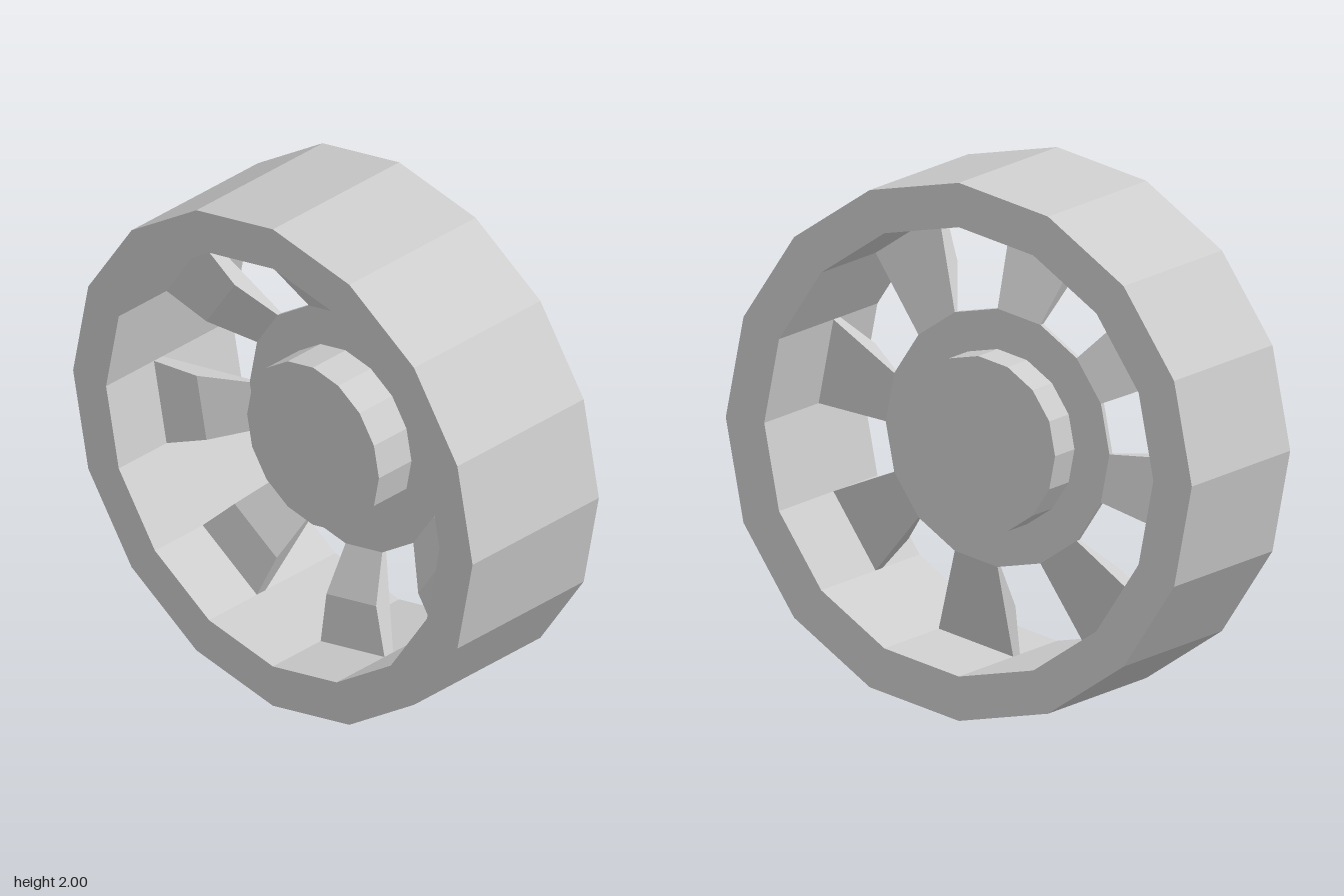
import * as THREE from 'three';

const SIDES = 16;
const STEP = (Math.PI * 2) / SIDES;
const material = new THREE.MeshStandardMaterial({ color: 0xcccccc, flatShading: true });

// Turned part around the x axis; profile points are [radius, x]
function turned(name, profile) {
  const points = profile.map(([r, x]) => new THREE.Vector2(r, x));
  const geometry = new THREE.LatheGeometry(points, SIDES).rotateZ(-Math.PI / 2);
  const mesh = new THREE.Mesh(geometry, material);
  mesh.name = name;
  return mesh;
}

// Wedge one wheel side wide: a [radius, x] section swept between two angles
function wedge(name, section, startAngle) {
  const shape = new THREE.Shape(section.map(([r, x]) => new THREE.Vector2(r, x)));
  const geometry = new THREE.ExtrudeGeometry(shape, { depth: 1, bevelEnabled: false });
  const p = geometry.attributes.position;
  for (let i = 0; i < p.count; i++) {
    const r = p.getX(i), x = p.getY(i), a = startAngle + p.getZ(i) * STEP;
    p.setXYZ(i, x, r * Math.cos(a), -r * Math.sin(a));
  }
  geometry.computeVertexNormals();
  const mesh = new THREE.Mesh(geometry, material);
  mesh.name = name;
  return mesh;
}

export function createModel() {
  const wheel = new THREE.Group();
  wheel.name = 'wheel';

  // Broad outer rim
  wheel.add(turned('rim', [[1, -0.33], [1, 0.33], [0.835, 0.33], [0.835, -0.33], [1, -0.33]]));

  // Hub: flange with a raised cap on each side
  wheel.add(turned('hub', [
    [0, -0.12], [0.33, -0.12], [0.33, 0.05], [0.48, 0.05],
    [0.48, 0.07], [0.33, 0.07], [0.33, 0.2], [0, 0.2],
  ]));

  // Eight dished spokes, one on every second side
  const spokes = new THREE.Group();
  spokes.name = 'spokes';
  const section = [[0.48, 0.05], [0.65, -0.05], [0.835, -0.08], [0.835, -0.035], [0.48, 0.07]];
  for (let i = 0; i < SIDES; i += 2) spokes.add(wedge('spoke', section, i * STEP));
  wheel.add(spokes);

  wheel.position.y = 1;
  const model = new THREE.Group();
  model.add(wheel);
  return model;
}
